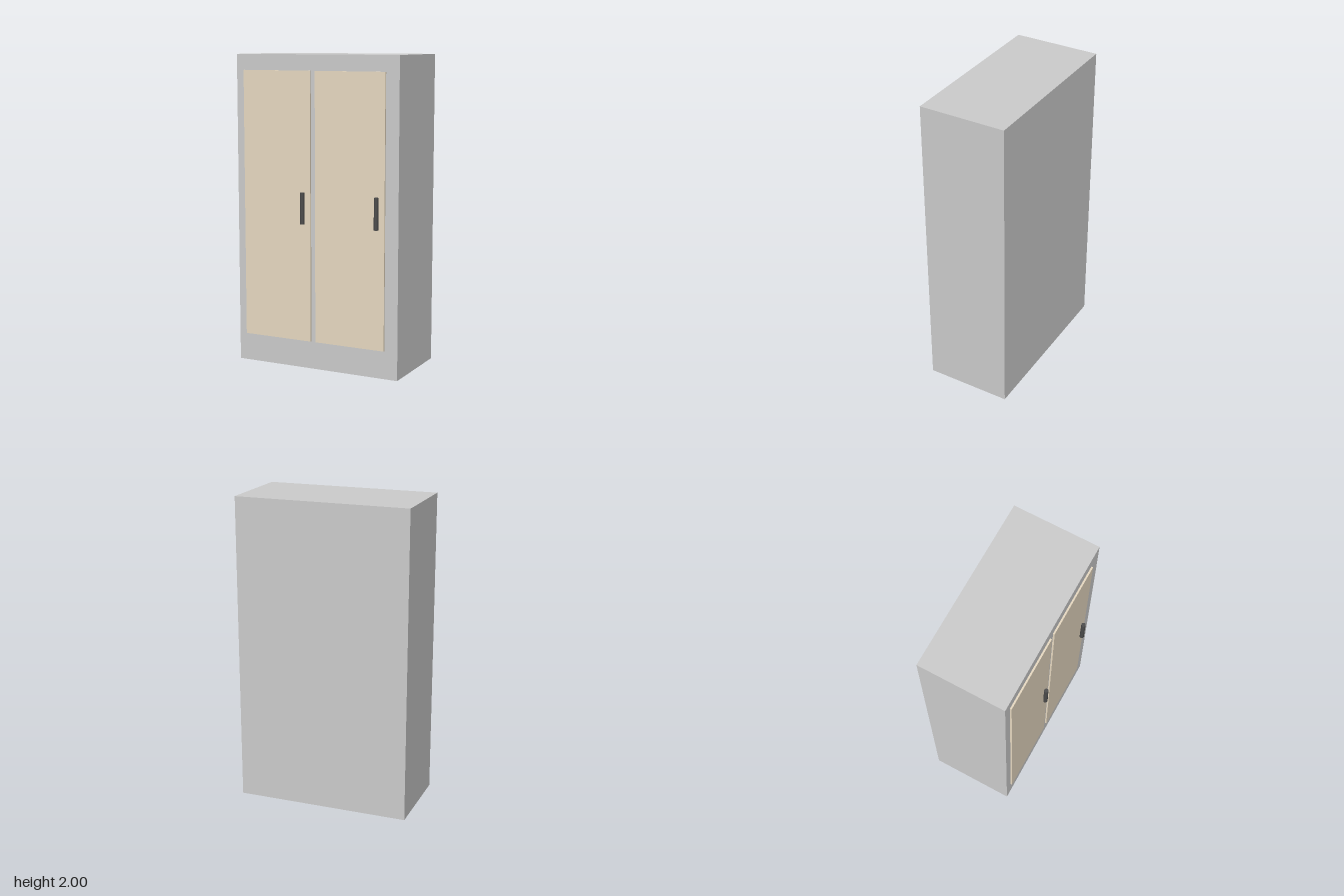
import * as THREE from 'three';

const grey = new THREE.MeshStandardMaterial({ color: 0xcccccc });
const cream = new THREE.MeshStandardMaterial({ color: 0xe6d8c0 });
const dark = new THREE.MeshStandardMaterial({ color: 0x4a4a4a });

function addPart(parent, name, geometry, material, x, y, z) {
  const mesh = new THREE.Mesh(geometry, material);
  mesh.name = name;
  mesh.position.set(x, y, z);
  parent.add(mesh);
}

export function createModel() {
  const wardrobe = new THREE.Group();
  wardrobe.name = 'wardrobe';

  // Cabinet body
  addPart(wardrobe, 'cabinet', new THREE.BoxGeometry(1.13, 2, 0.56), grey, 0, 1, -0.02);

  // Two door panels standing slightly proud of the front, each with a bar handle
  const doorGeometry = new THREE.BoxGeometry(0.477, 1.72, 0.022);
  const handleGeometry = new THREE.CylinderGeometry(0.014, 0.014, 0.2, 32);
  const doors = [
    { side: 'right', x: -0.272, handleX: -0.083 },
    { side: 'left', x: 0.2385, handleX: 0.427 },
  ];
  for (const { side, x, handleX } of doors) {
    addPart(wardrobe, `${side}Door`, doorGeometry, cream, x, 1.04, 0.26);
    addPart(wardrobe, `${side}Handle`, handleGeometry, dark, handleX, 1.04, 0.285);
  }

  return wardrobe;
}
